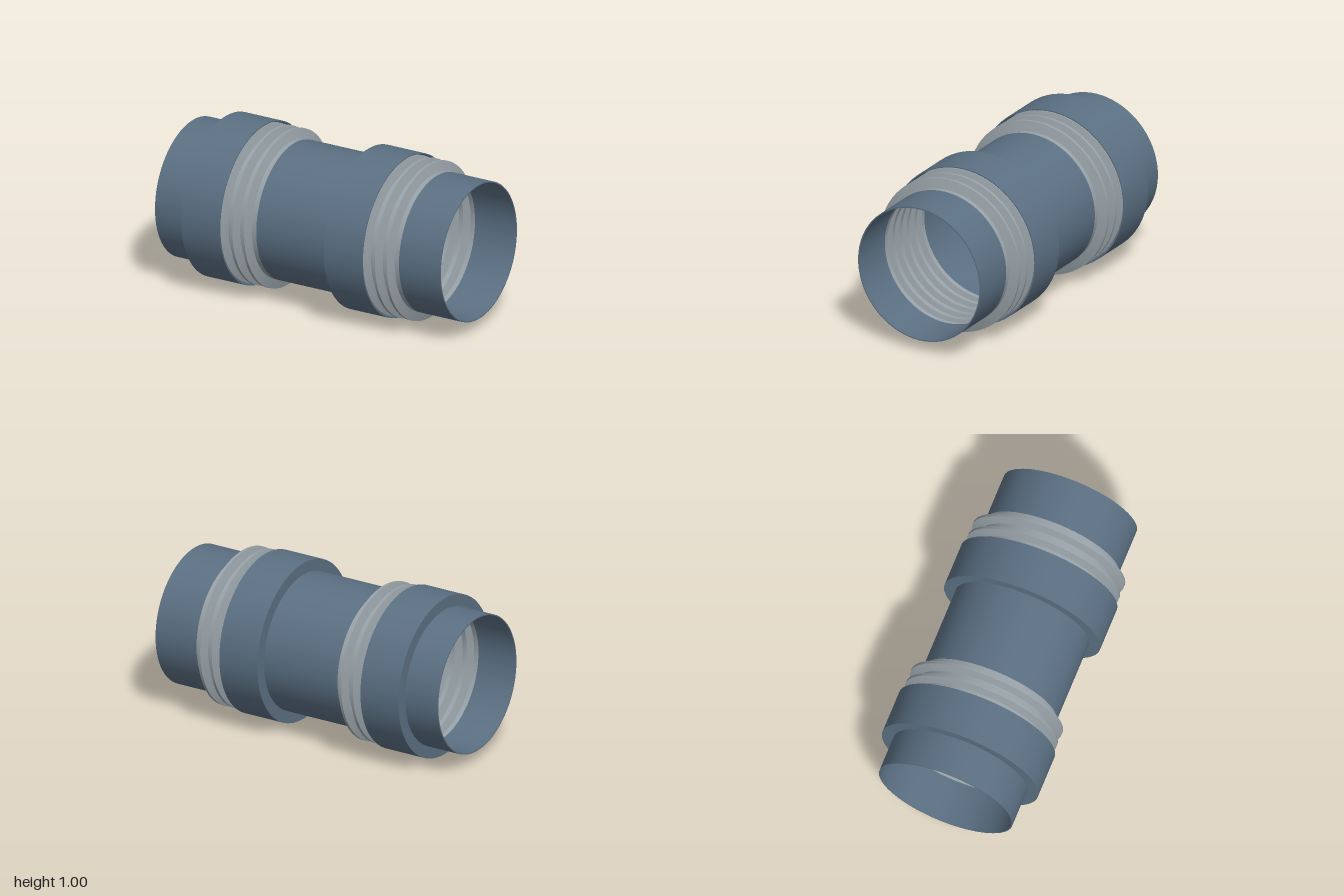
import * as THREE from 'three';
import { toCreasedNormals } from 'three/addons/utils/BufferGeometryUtils.js';

const R = 0.427;        // pipe outer radius
const WALL = 0.007;     // pipe wall
const PITCH = 0.083;    // spacing of the bellows ridges
const RIDGES = 5;
const VALLEY = 0.03;    // flat between two ridges
const BELLOWS = RIDGES * PITCH + VALLEY;

export function createModel() {
  const group = new THREE.Group();
  const blue = new THREE.MeshStandardMaterial({ color: 0x5b7083 });
  const steel = new THREE.MeshStandardMaterial({ color: 0x98a2a8 });

  // Revolves a closed [x, radius] outline around the pipe axis
  const revolve = (name, outline, material) => {
    const points = [...outline, outline[0]].map(([x, r]) => new THREE.Vector2(r, x));
    const geometry = toCreasedNormals(new THREE.LatheGeometry(points, 72), 0.4);
    geometry.rotateZ(-Math.PI / 2);
    const mesh = new THREE.Mesh(geometry, material);
    mesh.name = name;
    mesh.position.y = 0.5;
    group.add(mesh);
  };

  const pipe = (name, x0, x1) =>
    revolve(name, [[x0, R], [x1, R], [x1, R - WALL], [x0, R - WALL]], blue);

  // Corrugated wall: flat valleys and narrow-topped ridges
  const bellows = (name, end) => {
    const start = end - BELLOWS;
    const outer = [[start, R]];
    for (let i = 0; i < RIDGES; i++) {
      const x = start + VALLEY + i * PITCH;
      outer.push([x, R], [x + 0.018, 0.486], [x + 0.035, 0.486], [x + 0.053, R]);
    }
    outer.push([end, R]);
    const inner = outer.map(([x, r]) => [x, r - WALL]).reverse();
    revolve(name, [...outer, ...inner], steel);
  };

  // Sleeve fixed to the pipe at one end, open over the bellows at the other
  const sleeve = (name, x) =>
    revolve(name, [[x, R - 0.002], [x, 0.5], [x + 0.27, 0.5], [x + 0.27, 0.493],
      [x + 0.01, 0.493], [x + 0.01, R - 0.002]], blue);

  const ends = [-0.29, 0.71];
  pipe('rightPipe', -1, ends[0] - BELLOWS);
  pipe('middlePipe', ends[0], ends[1] - BELLOWS);
  pipe('leftPipe', ends[1], 1);

  ['right', 'left'].forEach((side, i) => {
    bellows(side + 'Bellows', ends[i]);
    sleeve(side + 'Sleeve', ends[i] - 0.48);
  });
  return group;
}
